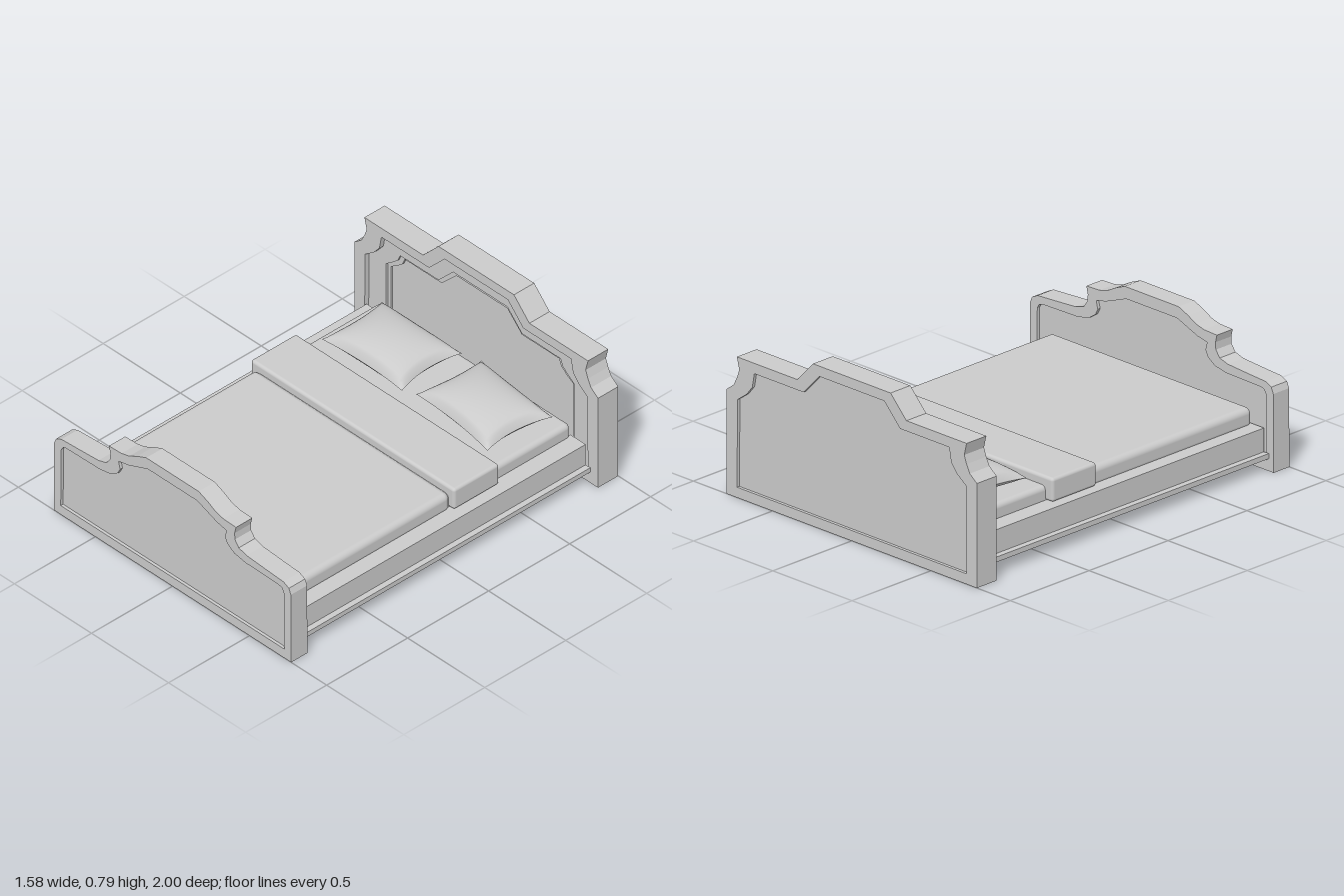
import * as THREE from 'three';
import { RoundedBoxGeometry } from 'three/addons/geometries/RoundedBoxGeometry.js';

const material = new THREE.MeshStandardMaterial({ color: 0xcccccc });

function add(parent, name, geometry, x = 0, y = 0, z = 0) {
  const mesh = new THREE.Mesh(geometry, material);
  mesh.name = name;
  mesh.position.set(x, y, z);
  parent.add(mesh);
  return mesh;
}

// Right half of an outline (bottom to top), mirrored into a closed loop
function mirrored(half) {
  const left = half.map(([x, y]) => [-x, y]).reverse();
  return [...half, ...left].map(([x, y]) => new THREE.Vector2(x, y));
}

// Slab between z0 and z1, with an optional opening
function slab(parent, name, outline, opening, z0, z1) {
  const shape = new THREE.Shape(mirrored(outline));
  if (opening) shape.holes.push(new THREE.Path(mirrored(opening)));
  const geometry = new THREE.ExtrudeGeometry(shape, { depth: z1 - z0, bevelEnabled: false });
  return add(parent, name, geometry, 0, 0, z0);
}

// Headboard: stepped frame with nested recessed panels
function headboard() {
  const group = new THREE.Group();
  group.name = 'headboard';
  const outer = [[0.79, 0], [0.79, 0.505], [0.745, 0.54], [0.725, 0.58], [0.71, 0.62],
    [0.725, 0.68], [0.345, 0.68], [0.245, 0.785]];
  const field = [[0.725, 0.05], [0.72, 0.475], [0.665, 0.515], [0.628, 0.56],
    [0.615, 0.63], [0.305, 0.63], [0.205, 0.735]];
  const bead = [[0.61, 0.05], [0.61, 0.47], [0.575, 0.495], [0.535, 0.53],
    [0.52, 0.565], [0.27, 0.567], [0.175, 0.665]];
  const centre = [[0.59, 0.05], [0.59, 0.46], [0.55, 0.485], [0.515, 0.515],
    [0.5, 0.55], [0.26, 0.55], [0.165, 0.645]];
  slab(group, 'headboardFrame', outer, field, -1, -0.875);
  slab(group, 'headboardField', field, bead, -0.985, -0.9);
  slab(group, 'headboardBead', bead, centre, -0.985, -0.91);
  slab(group, 'headboardPanel', centre, null, -0.985, -0.92);
  return group;
}

// Footboard: scrolled top, panel recessed on both faces
function footboard() {
  const group = new THREE.Group();
  group.name = 'footboard';
  const outer = [[0.77, 0], [0.768, 0.38], [0.755, 0.41], [0.72, 0.427], [0.6, 0.434], [0.48, 0.442],
    [0.43, 0.457], [0.405, 0.49], [0.403, 0.525], [0.412, 0.562], [0.33, 0.565],
    [0.28, 0.578], [0.23, 0.605], [0.17, 0.63]];
  const panel = [[0.725, 0.05], [0.722, 0.365], [0.71, 0.387], [0.69, 0.393], [0.47, 0.397],
    [0.4, 0.41], [0.355, 0.44], [0.34, 0.47], [0.35, 0.51], [0.29, 0.522], [0.23, 0.545], [0.16, 0.572]];
  slab(group, 'footboardFrame', outer, panel, 0.9, 1);
  slab(group, 'footboardPanel', panel, null, 0.915, 0.985);
  return group;
}

// Pillow: two puffed sheets meeting at a seam with pinched corners
function pillow() {
  const group = new THREE.Group();
  group.name = 'pillow';
  for (const side of [1, -1]) {
    const sheet = new THREE.PlaneGeometry(2, 2, 28, 22).rotateX(-Math.PI / 2);
    const p = sheet.attributes.position;
    for (let i = 0; i < p.count; i++) {
      const u = p.getX(i), v = p.getZ(i);
      const puff = Math.pow(Math.max(0, (1 - u * u) * (1 - v * v)), 0.4);
      p.setXYZ(i,
        u * 0.26 * (1 - 0.12 * (1 - v * v)),
        (side > 0 ? 0.075 : 0.045) * puff,
        v * 0.185 * (1 - 0.08 * (1 - u * u)));
    }
    sheet.computeVertexNormals();
    add(group, side > 0 ? 'pillowTop' : 'pillowUnderside', sheet).scale.y = side;
  }
  return group;
}

export function createModel() {
  const model = new THREE.Group();
  model.name = 'bed';
  model.add(headboard(), footboard());

  // Side rails: upright board, flat top and projecting foot moulding
  const length = 1.775, mid = 0.0125;
  for (const s of [1, -1]) {
    const rail = new THREE.Group();
    rail.name = s > 0 ? 'leftRail' : 'rightRail';
    add(rail, 'railBoard', new THREE.BoxGeometry(0.02, 0.14, length), s * 0.7, 0.13, mid);
    add(rail, 'railMoulding', new THREE.BoxGeometry(0.05, 0.025, length), s * 0.715, 0.0725, mid);
    add(rail, 'railTop', new THREE.PlaneGeometry(0.1, length).rotateX(-Math.PI / 2), s * 0.66, 0.2, mid);
    model.add(rail);
  }

  // Bedding
  add(model, 'mattress', new RoundedBoxGeometry(1.24, 0.09, 1.77, 4, 0.025), 0, 0.225, 0.015);
  add(model, 'blanket', new RoundedBoxGeometry(1.265, 0.1, 1.02, 4, 0.03), -0.005, 0.23, 0.39);
  add(model, 'blanketFold', new RoundedBoxGeometry(1.32, 0.115, 0.28, 4, 0.015), -0.005, 0.2575, -0.255);

  // Pillows, one slightly turned
  const a = pillow(), b = pillow();
  a.position.set(-0.3, 0.315, -0.64);
  b.position.set(0.3, 0.315, -0.64);
  a.rotation.set(0.04, 0, 0);
  b.rotation.set(0.04, -0.1, 0);
  model.add(a, b);
  return model;
}
